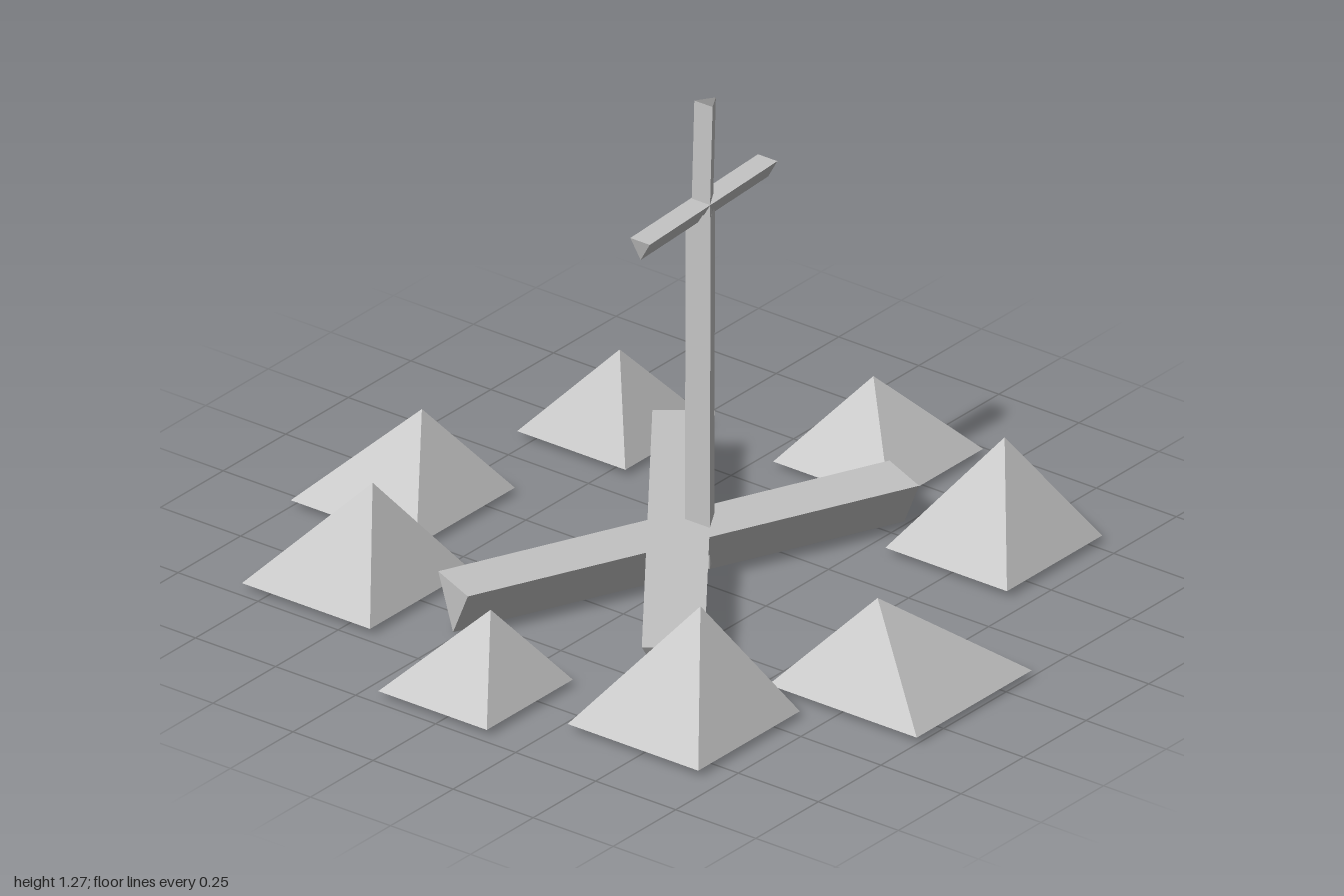
import * as THREE from 'three';

const grey = new THREE.MeshStandardMaterial({ color: 0xc2c2c2, side: THREE.DoubleSide });
grey.name = 'grey';

function flatMesh(geometry, name) {
  const flat = geometry.toNonIndexed();
  flat.computeVertexNormals();
  const mesh = new THREE.Mesh(flat, grey);
  mesh.name = name;
  return mesh;
}

// Open three-sided bar from a to b, with one corner pointing towards `corner`
function bar(name, a, b, radius, corner) {
  const start = new THREE.Vector3(...a), end = new THREE.Vector3(...b);
  const y = end.clone().sub(start);
  const length = y.length();
  y.normalize();
  const x = y.clone().cross(new THREE.Vector3(...corner)).normalize();
  const z = x.clone().cross(y);
  const geometry = new THREE.CylinderGeometry(radius, radius, length, 3, 1, true);
  geometry.applyMatrix4(new THREE.Matrix4().makeBasis(x, y, z)
    .setPosition(start.add(end).multiplyScalar(0.5)));
  return flatMesh(geometry, name);
}

// Open square pyramid whose tip is moved off centre
function stone([x0, x1, z0, z1, tipX, tipZ, tipY]) {
  const base = 0.018;
  const geometry = new THREE.ConeGeometry(Math.SQRT1_2, 1, 4, 1, true);
  geometry.rotateY(Math.PI / 4);
  geometry.scale(x1 - x0, 1, z1 - z0);
  geometry.translate((x0 + x1) / 2, 0, (z0 + z1) / 2);
  const p = geometry.attributes.position;
  for (let i = 0; i < p.count; i++) {
    if (p.getY(i) > 0) p.setXYZ(i, tipX, tipY, tipZ);
    else p.setY(i, base);
  }
  return flatMesh(geometry, 'stone');
}

export function createModel() {
  const model = new THREE.Group();
  model.name = 'campfire';

  // Crossed logs lying on the ground, ridge down
  const r = 0.089, down = [0, -1, 0], right = [1, 0, 0];
  model.add(
    bar('firstLog', [-0.522, r, 0.368], [0.5, r, -0.398], r, down),
    bar('secondLog', [-0.585, r, -0.27], [0.568, r, 0.238], r, down),
  );

  // Leaning post in two thicknesses, with a crossbar
  model.add(
    bar('lowerPost', [0.06, 0.02, 0.006], [0.092, 0.973, -0.016], 0.045, right),
    bar('upperPost', [0.094, 0.96, -0.015], [0.107, 1.268, -0.016], 0.033, right),
    bar('crossbar', [-0.162, 0.973, -0.016], [0.348, 0.998, -0.016], 0.035, down),
  );

  // Ring of stones: x range, z range, tip x, tip z, tip height
  const ring = new THREE.Group();
  ring.name = 'stoneRing';
  [
    [-0.725, -0.322, -0.82, -0.42, -0.51, -0.58, 0.285],
    [-0.30, 0.093, -1.0, -0.607, -0.07, -0.77, 0.25],
    [0.336, 0.676, -0.79, -0.452, 0.49, -0.59, 0.245],
    [0.595, 0.967, -0.193, 0.172, 0.80, -0.04, 0.22],
    [0.40, 0.78, 0.31, 0.69, 0.64, 0.495, 0.285],
    [-0.357, 0.103, 0.537, 1.0, -0.172, 0.733, 0.245],
    [-0.828, -0.422, 0.278, 0.686, -0.575, 0.495, 0.31],
    [-0.976, -0.632, -0.198, 0.141, -0.77, -0.008, 0.22],
  ].forEach((s) => ring.add(stone(s)));
  model.add(ring);

  return model;
}
